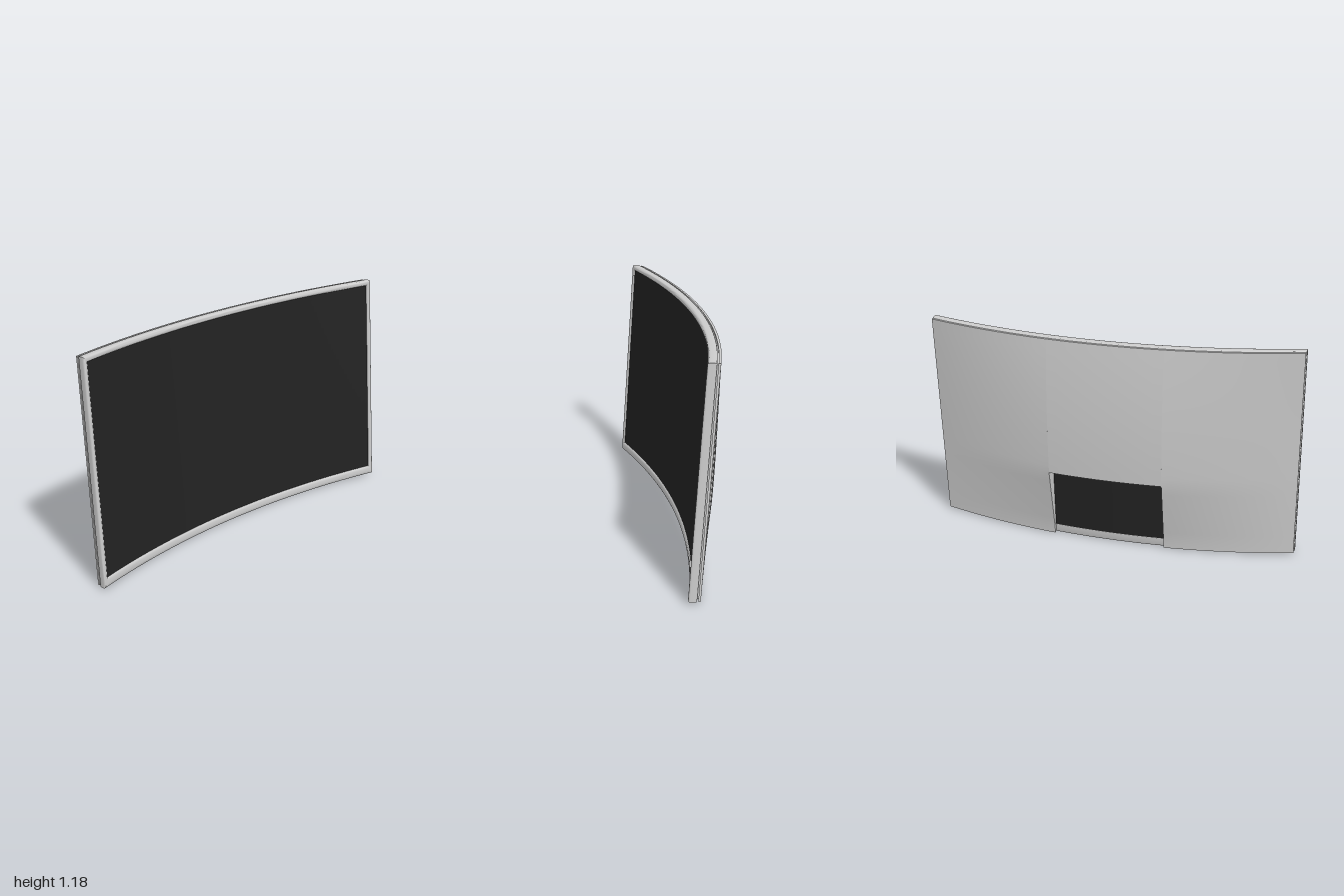
import * as THREE from 'three';
import { toCreasedNormals } from 'three/addons/utils/BufferGeometryUtils.js';

const H = 1.17, R = 3.77, TILT = 0.0715;   // panel height, curve radius, backward lean
const CUT_W = 0.31, CUT_H = 0.415;         // half width and height of the rear recess

// Panel coordinates (z across, h up, d depth behind the front face) to model space
function place(z, h, d) {
  const n = R - Math.sqrt(R * R - z * z) - d;
  return [
    0.012 + n * Math.cos(TILT) - h * Math.sin(TILT),
    0.0035 + h * Math.cos(TILT) + n * Math.sin(TILT),
    z,
  ];
}

// Depth of the rear cover: thin at the rim, bulging in the middle
function coverDepth(z, h) {
  let bulge;
  if (h < CUT_H) bulge = 0.055 * Math.max(0, (h - 0.04) / (CUT_H - 0.04));
  else bulge = 0.055 * (1 - ((h - CUT_H) / (H - CUT_H)) ** 2);
  const side = 1 - Math.max(0, (Math.abs(z) - CUT_W) / (1 - CUT_W));
  return 0.062 + bulge * side;
}

// Curved slab between two depths; each depth is a function of (z, h)
function slab(z0, z1, h0, h1, front, back) {
  const nz = Math.max(4, Math.round((z1 - z0) * 20));
  const nh = Math.max(4, Math.round((h1 - h0) * 20));
  const geo = new THREE.BoxGeometry(1, 1, 1, 1, nh, nz);
  const pos = geo.attributes.position;
  for (let i = 0; i < pos.count; i++) {
    const z = z0 + (pos.getZ(i) + 0.5) * (z1 - z0);
    const h = h0 + (pos.getY(i) + 0.5) * (h1 - h0);
    const d = pos.getX(i) > 0 ? front(z, h) : back(z, h);
    pos.setXYZ(i, ...place(z, h, d));
  }
  return toCreasedNormals(geo, 0.6);
}

// Rounded bezel section swept round the rectangular outline
function frameGeometry() {
  const inner = { z: 0.975, h0: 0.05, h1: H - 0.028 };
  const section = [ // [share of bezel width inwards, depth]
    [0.2, 0.044], [0.05, 0.041], [0, 0.035], [0, 0.011], [0.06, 0.005], [0.22, 0.001],
    [0.4, 0], [0.7, 0], [0.9, 0.002], [1, 0.007], [1, 0.044],
  ];
  const corners = [[1, 0], [-1, 0], [-1, 1], [1, 1]];
  const path = [];
  corners.forEach((a, k) => {
    const b = corners[(k + 1) % 4];
    const steps = k % 2 ? 8 : 40;
    for (let i = 0; i < steps; i++) {
      const t = i / steps;
      path.push([a[0] + (b[0] - a[0]) * t, a[1] + (b[1] - a[1]) * t]);
    }
  });
  const verts = [], index = [], n = section.length;
  path.forEach(([s, v], i) => {
    section.forEach(([u, d], j) => {
      const z = s * THREE.MathUtils.lerp(1, inner.z, u);
      const h = THREE.MathUtils.lerp(v * H, inner.h0 + v * (inner.h1 - inner.h0), u);
      verts.push(...place(z, h, d));
      const i2 = (i + 1) % path.length, j2 = (j + 1) % n;
      const a = i * n + j, b = i2 * n + j, c = i2 * n + j2, e = i * n + j2;
      index.push(a, b, c, a, c, e);
    });
  });
  const geo = new THREE.BufferGeometry();
  geo.setAttribute('position', new THREE.Float32BufferAttribute(verts, 3));
  geo.setIndex(index);
  return toCreasedNormals(geo, 0.8);
}

export function createModel() {
  const model = new THREE.Group();
  model.name = 'curvedDisplay';
  const grey = new THREE.MeshStandardMaterial({ color: 0xcccccc });
  const black = new THREE.MeshStandardMaterial({ color: 0x222222 });
  const add = (parent, name, geo, mat) => {
    const mesh = new THREE.Mesh(geo, mat);
    mesh.name = name;
    parent.add(mesh);
  };

  add(model, 'bezel', frameGeometry(), grey);
  add(model, 'screen', slab(-0.977, 0.977, 0.048, H - 0.026, () => 0.007, () => 0.043), black);

  // Rear cover in three sections around the recess, on an inset spacer forming the groove
  const cover = new THREE.Group(), spacer = new THREE.Group();
  cover.name = 'rearCover';
  spacer.name = 'grooveSpacer';
  model.add(cover, spacer);
  const sections = (m) => [
    ['rightSection', -1 + m, -CUT_W, m, H - m],
    ['leftSection', CUT_W, 1 - m, m, H - m],
    ['upperSection', -CUT_W, CUT_W, CUT_H, H - m],
  ];
  for (const [name, ...area] of sections(0.003))
    add(cover, name, slab(...area, () => 0.05, coverDepth), grey);
  for (const [name, ...area] of sections(0.012))
    add(spacer, name, slab(...area, () => 0.0435, () => 0.052), grey);

  return model;
}
